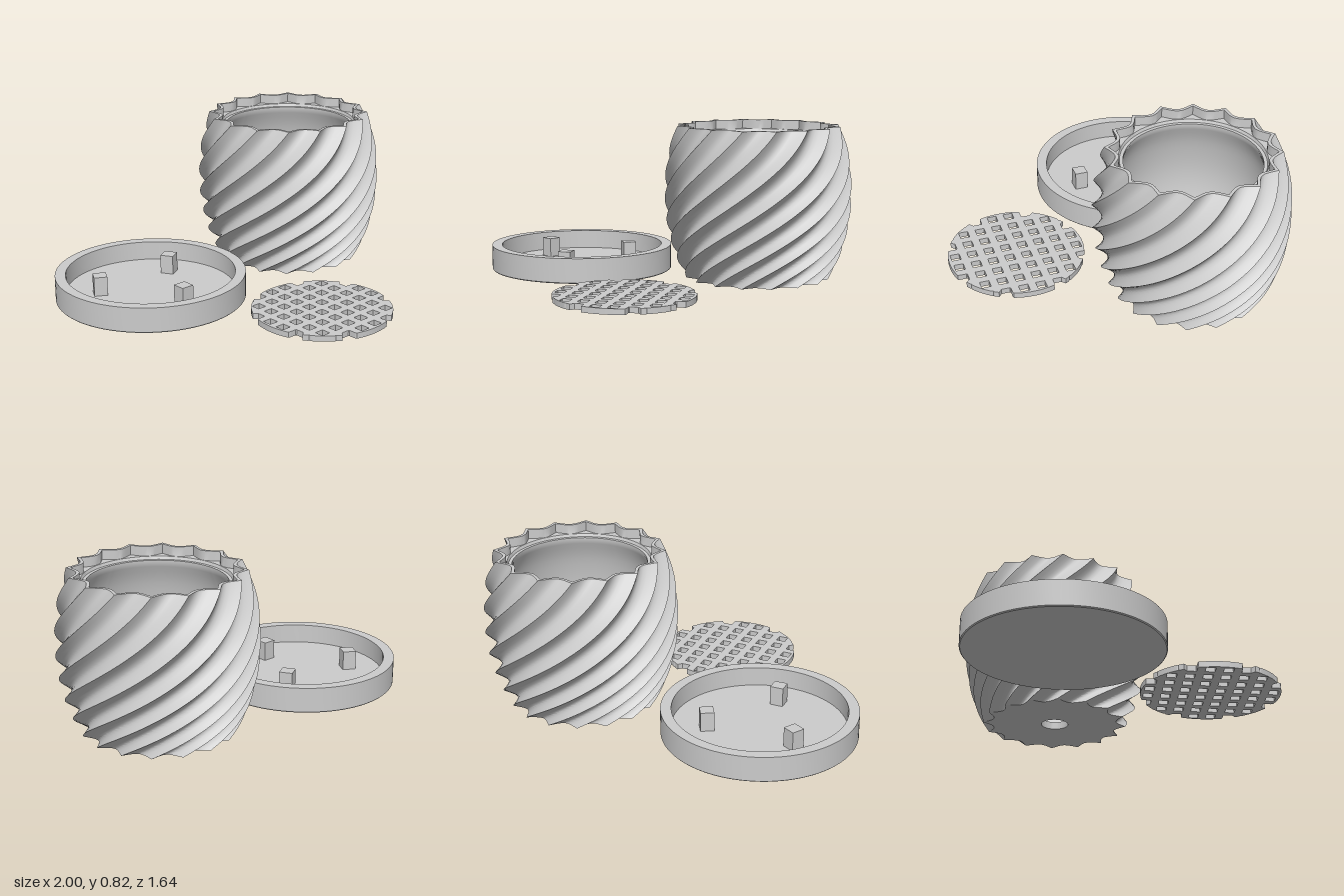
import * as THREE from 'three';
import { toCreasedNormals } from 'three/addons/utils/BufferGeometryUtils.js';

const material = new THREE.MeshStandardMaterial({ color: 0xcccccc });

function part(name, geometry, x = 0, y = 0, z = 0) {
  const mesh = new THREE.Mesh(geometry, material);
  mesh.name = name;
  mesh.position.set(x, y, z);
  return mesh;
}

// Pot: one surface swept through rows of [y, tip radius, flute depth, twist]
function potGeometry() {
  const RIDGES = 16, PER = 8, COLS = RIDGES * PER, H = 0.82;
  const twist = (y) => 4 * y - 1.34 * y * y;
  const top = twist(H);
  const rows = [[0, 0.072, 0, 0]];

  // Fluted, bulging outer wall
  const outer = new THREE.SplineCurve([
    [0.385, 0], [0.43, 0.09], [0.465, 0.19], [0.492, 0.32], [0.5, 0.45],
    [0.495, 0.58], [0.475, 0.7], [0.438, H],
  ].map((p) => new THREE.Vector2(...p)));
  for (const p of outer.getPoints(42)) rows.push([p.y, p.x, 0.05, twist(p.y)]);

  // Thin zigzag rim and the ledge below it
  rows.push([H, 0.416, 0.045, top], [0.77, 0.416, 0.045, top], [0.77, 0.368, 0, top],
    [0.755, 0.362, 0, top], [0.755, 0.345, 0, top]);

  // Smooth bowl down to the drain hole
  const bowl = new THREE.SplineCurve([
    [0.345, 0.74], [0.39, 0.62], [0.415, 0.45], [0.405, 0.3], [0.365, 0.17],
    [0.29, 0.08], [0.19, 0.045], [0.072, 0.04],
  ].map((p) => new THREE.Vector2(...p)));
  for (const p of bowl.getPoints(28)) rows.push([p.y, p.x, 0, top]);
  rows.push([0, 0.072, 0, top]);

  const position = [], index = [];
  rows.forEach(([y, r, depth, turn], i) => {
    for (let j = 0; j <= COLS; j++) {
      const a = (j / COLS) * Math.PI * 2;
      const radius = r - depth * Math.abs(Math.sin((a * RIDGES) / 2));
      position.push(radius * Math.sin(a + turn), y, radius * Math.cos(a + turn));
      if (i && j) {
        const d = i * (COLS + 1) + j, b = d - COLS - 1;
        index.push(b - 1, b, d, b - 1, d, d - 1);
      }
    }
  });
  const g = new THREE.BufferGeometry();
  g.setAttribute('position', new THREE.Float32BufferAttribute(position, 3));
  g.setIndex(index);
  return toCreasedNormals(g, 0.6);
}

// Grate: disc with square holes; holes that cross the edge become notches
function grateGeometry() {
  const R = 0.363, PITCH = 0.0915, HALF = 0.025;
  const holes = [], notches = [];
  for (let i = -3.5; i < 4; i++) {
    for (let j = -3.5; j < 4; j++) {
      const x = i * PITCH, y = j * PITCH;
      const far = Math.hypot(Math.abs(x) + HALF, Math.abs(y) + HALF);
      const near = Math.hypot(Math.abs(x) - HALF, Math.abs(y) - HALF);
      if (far < R) holes.push([x, y]);
      else if (near < R) notches.push([x, y]);
    }
  }
  const edgeRadius = (a) => {
    let r = R;
    const c = Math.cos(a), s = Math.sin(a);
    for (const [x, y] of notches) {
      if (x * c + y * s < 0) continue;
      const tx = [(x - HALF) / c, (x + HALF) / c], ty = [(y - HALF) / s, (y + HALF) / s];
      const enter = Math.max(Math.min(...tx), Math.min(...ty));
      const leave = Math.min(Math.max(...tx), Math.max(...ty));
      if (enter < leave) r = Math.min(r, enter);
    }
    return r;
  };
  const outline = [];
  for (let k = 0; k < 360; k++) {
    const a = ((k + 0.5) / 360) * Math.PI * 2, r = edgeRadius(a);
    outline.push(new THREE.Vector2(r * Math.cos(a), r * Math.sin(a)));
  }
  const shape = new THREE.Shape(outline);
  for (const [x, y] of holes) {
    shape.holes.push(new THREE.Path([[-1, -1], [-1, 1], [1, 1], [1, -1]]
      .map(([u, v]) => new THREE.Vector2(x + u * HALF, y + v * HALF))));
  }
  const g = new THREE.ExtrudeGeometry(shape, { depth: 0.03, bevelEnabled: false });
  return g.rotateX(-Math.PI / 2);
}

// Saucer: shallow dish with three square posts
function createSaucer() {
  const saucer = new THREE.Group();
  saucer.name = 'saucer';
  const profile = [[0, 0], [0.495, 0], [0.5, 0.005], [0.5, 0.135], [0.445, 0.135], [0.445, 0.033], [0, 0.033]]
    .map((p) => new THREE.Vector2(...p));
  saucer.add(part('dish', toCreasedNormals(new THREE.LatheGeometry(profile, 96), 0.5)));
  for (let i = 0; i < 3; i++) {
    const a = (i / 3) * Math.PI * 2;
    const post = part('post', new THREE.BoxGeometry(0.07, 0.105, 0.07),
      0.268 * Math.sin(a), 0.0825, 0.268 * Math.cos(a));
    post.rotation.y = a;
    saucer.add(post);
  }
  saucer.position.set(-0.5, 0, -0.325);
  return saucer;
}

export function createModel() {
  const model = new THREE.Group();
  model.name = 'planterSet';
  model.add(
    part('pot', potGeometry(), 0.5, 0, -0.325),
    createSaucer(),
    part('drainGrate', grateGeometry(), -0.01, 0, 0.457),
  );
  return model;
}
